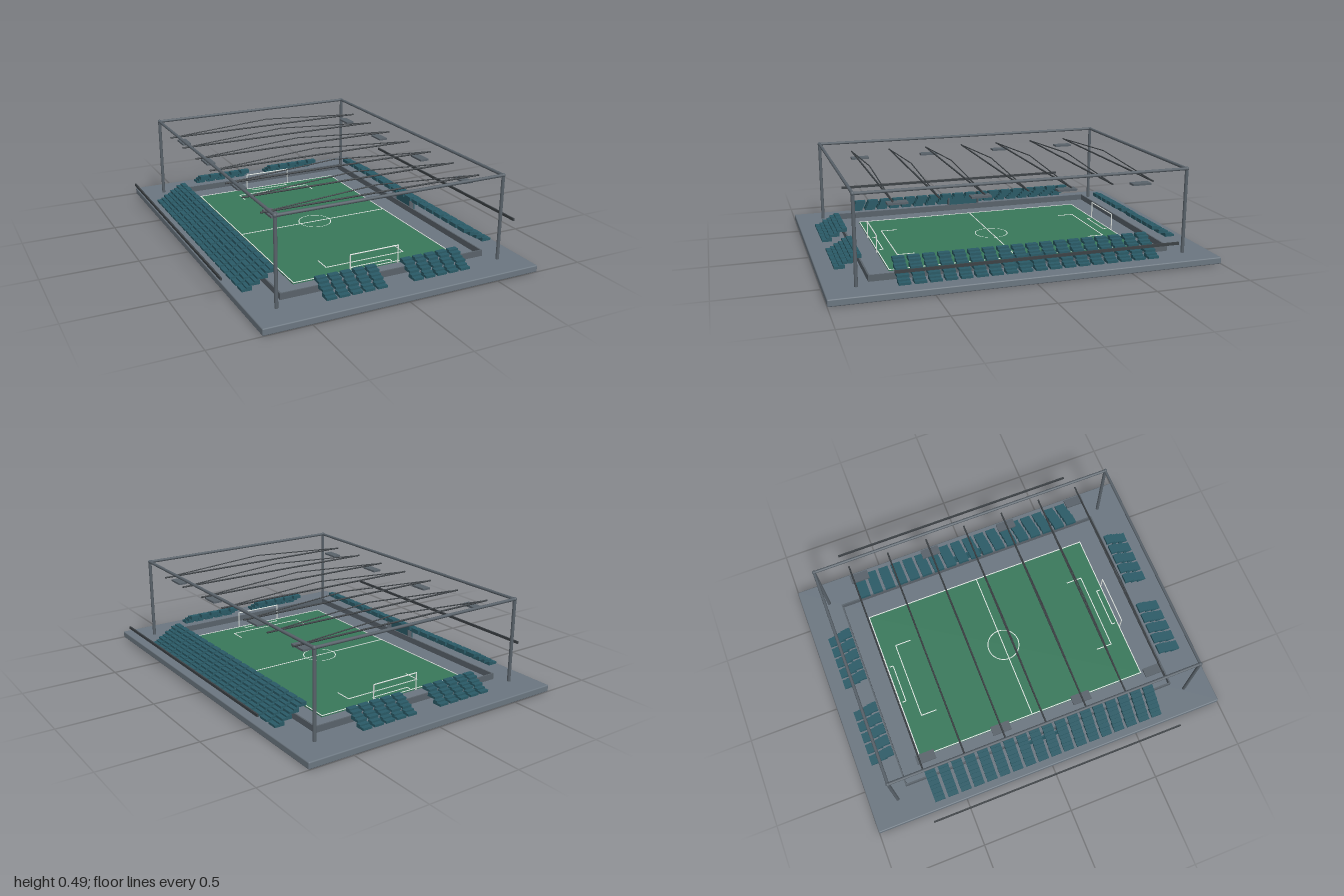
import * as THREE from 'three';
import { RoundedBoxGeometry } from 'three/addons/geometries/RoundedBoxGeometry.js';

const paint = (name, color) => {
  const m = new THREE.MeshStandardMaterial({ color });
  m.name = name;
  return m;
};

export function createModel() {
  const root = new THREE.Group();
  root.name = 'stadium';
  const concrete = paint('concrete', 0x6b7680);
  const grass = paint('grass', 0x38785a);
  const seatTeal = paint('seatTeal', 0x2a5a66);
  const steel = paint('steel', 0x59626a);
  const darkSteel = paint('darkSteel', 0x3c4145);
  const white = paint('lineWhite', 0xe6ece8);

  const group = (name) => {
    const g = new THREE.Group();
    g.name = name;
    root.add(g);
    return g;
  };
  const add = (parent, name, geometry, material) => {
    const mesh = new THREE.Mesh(geometry, material);
    mesh.name = name;
    parent.add(mesh);
    return mesh;
  };
  const box = (parent, name, material, w, h, d, x, y, z) => {
    const mesh = add(parent, name, new THREE.BoxGeometry(w, h, d), material);
    mesh.position.set(x, y, z);
    return mesh;
  };
  // Round bar between two points
  const bar = (parent, name, material, a, b, r) => {
    const p = new THREE.Vector3(...a), q = new THREE.Vector3(...b);
    const dir = q.clone().sub(p);
    const mesh = add(parent, name, new THREE.CylinderGeometry(r, r, dir.length(), 10), material);
    mesh.position.copy(p).add(q).multiplyScalar(0.5);
    mesh.quaternion.setFromUnitVectors(new THREE.Vector3(0, 1, 0), dir.normalize());
    return mesh;
  };

  // Ground slab and pitch
  const slab = add(root, 'groundSlab', new RoundedBoxGeometry(1.48, 0.036, 2, 2, 0.006), concrete);
  slab.position.y = 0.018;
  box(root, 'pitch', grass, 0.88, 0.006, 1.325, 0, 0.039, 0);

  // Pitch markings
  const marks = group('pitchMarkings');
  const line = (w, d, x, z) => box(marks, 'line', white, w, 0.002, d, x, 0.043, z);
  const lw = 0.005;
  line(0.87, lw, 0, 0);
  for (const s of [-1, 1]) {
    line(lw, 1.32, s * 0.437, 0);
    line(0.88, lw, 0, s * 0.66);
    line(0.44, lw, 0, s * 0.574);
    line(0.22, lw, 0, s * 0.627);
    for (const t of [-1, 1]) {
      line(lw, 0.09, t * 0.22, s * 0.53);
      line(lw, 0.02, t * 0.11, s * 0.637);
    }
  }
  const circle = add(marks, 'centreCircle', new THREE.RingGeometry(0.086, 0.091, 48), white);
  circle.rotation.x = -Math.PI / 2;
  circle.position.y = 0.044;

  // Goals
  for (const s of [-1, 1]) {
    const goal = group('goal');
    const z = s * 0.665;
    bar(goal, 'crossbar', white, [-0.135, 0.13, z], [0.135, 0.13, z], 0.003);
    for (const t of [-1, 1]) bar(goal, 'goalPost', white, [t * 0.135, 0.036, z], [t * 0.135, 0.132, z], 0.003);
  }

  // Low perimeter wall
  const wall = group('perimeterWall');
  for (const s of [-1, 1]) {
    box(wall, 'sideWall', steel, 0.008, 0.032, 1.568, s * 0.557, 0.052, 0);
    box(wall, 'endWall', steel, 1.12, 0.032, 0.008, 0, 0.052, s * 0.78);
  }

  // Seats: local +z points towards the pitch
  const panGeometry = new THREE.BoxGeometry(1, 0.012, 0.052);
  const lipGeometry = new THREE.BoxGeometry(1, 0.01, 0.028);
  const seat = (parent, width, x, y, z, turn) => {
    const g = new THREE.Group();
    g.name = 'seat';
    const pan = add(g, 'seatPan', panGeometry, seatTeal);
    const lip = add(g, 'seatBack', lipGeometry, seatTeal);
    pan.scale.x = lip.scale.x = width;
    lip.position.set(0, 0.009, 0.012);
    g.position.set(x, y, z);
    g.rotation.y = turn;
    parent.add(g);
  };

  for (const s of [-1, 1]) {
    // Long side stands
    const side = group('sideStand');
    for (let row = 0; row < 4; row++) {
      for (let i = 0; i < 18; i++) {
        seat(side, 0.058, s * (0.675 - row * 0.04), 0.058 + row * 0.0235, (i - 8.5) * 0.0748, -s * Math.PI / 2);
      }
    }
    // End stands, two blocks each
    const end = group('endStand');
    for (const block of [-0.231, 0.231]) {
      for (let row = 0; row < 3; row++) {
        for (let i = 0; i < 5; i++) {
          seat(end, 0.052, block + (i - 2) * 0.0662, 0.06 + row * 0.0235, s * (0.893 - row * 0.041), s > 0 ? Math.PI : 0);
        }
      }
    }
    // Team shelter tucked beneath the side stand
    const shelter = group('teamShelter');
    box(shelter, 'shelterBack', seatTeal, 0.008, 0.075, 0.19, s * 0.588, 0.072, 0);
    for (const t of [-1, 1]) box(shelter, 'shelterEnd', steel, 0.03, 0.075, 0.006, s * 0.573, 0.072, t * 0.092);
  }

  // Roof frame: columns, corner joints and edge beams
  const frame = group('roofFrame');
  for (const s of [-1, 1]) {
    for (const t of [-1, 1]) {
      bar(frame, 'column', steel, [s * 0.608, 0.03, t * 0.848], [s * 0.608, 0.482, t * 0.848], 0.009);
      const joint = add(frame, 'cornerJoint', new THREE.SphereGeometry(0.011, 12, 8), steel);
      joint.position.set(s * 0.608, 0.481, t * 0.848);
    }
    bar(frame, 'sideBeam', steel, [s * 0.608, 0.481, -0.848], [s * 0.608, 0.481, 0.848], 0.008);
    bar(frame, 'endBeam', steel, [-0.608, 0.481, s * 0.848], [0.608, 0.481, s * 0.848], 0.008);
    // Free-hanging outer rails
    box(root, 'outerRail', darkSteel, 0.008, 0.014, 1.41, s * 0.813, 0.161, 0);
  }

  // Roof trusses
  for (let i = -3; i <= 3; i++) {
    const truss = group('roofTruss');
    const z = i * 0.2215;
    bar(truss, 'bottomChord', darkSteel, [-0.6, 0.428, z], [0.6, 0.428, z], 0.0045);
    for (const s of [-1, 1]) bar(truss, 'topChord', darkSteel, [s * 0.555, 0.431, z], [0, 0.468, z], 0.003);
  }

  // Floodlights
  for (const x of [-0.531, 0.531]) {
    for (const z of [-0.63, -0.222, 0.222, 0.63]) {
      box(root, 'floodlight', steel, 0.048, 0.01, 0.1, x, 0.402, z);
    }
  }
  return root;
}
